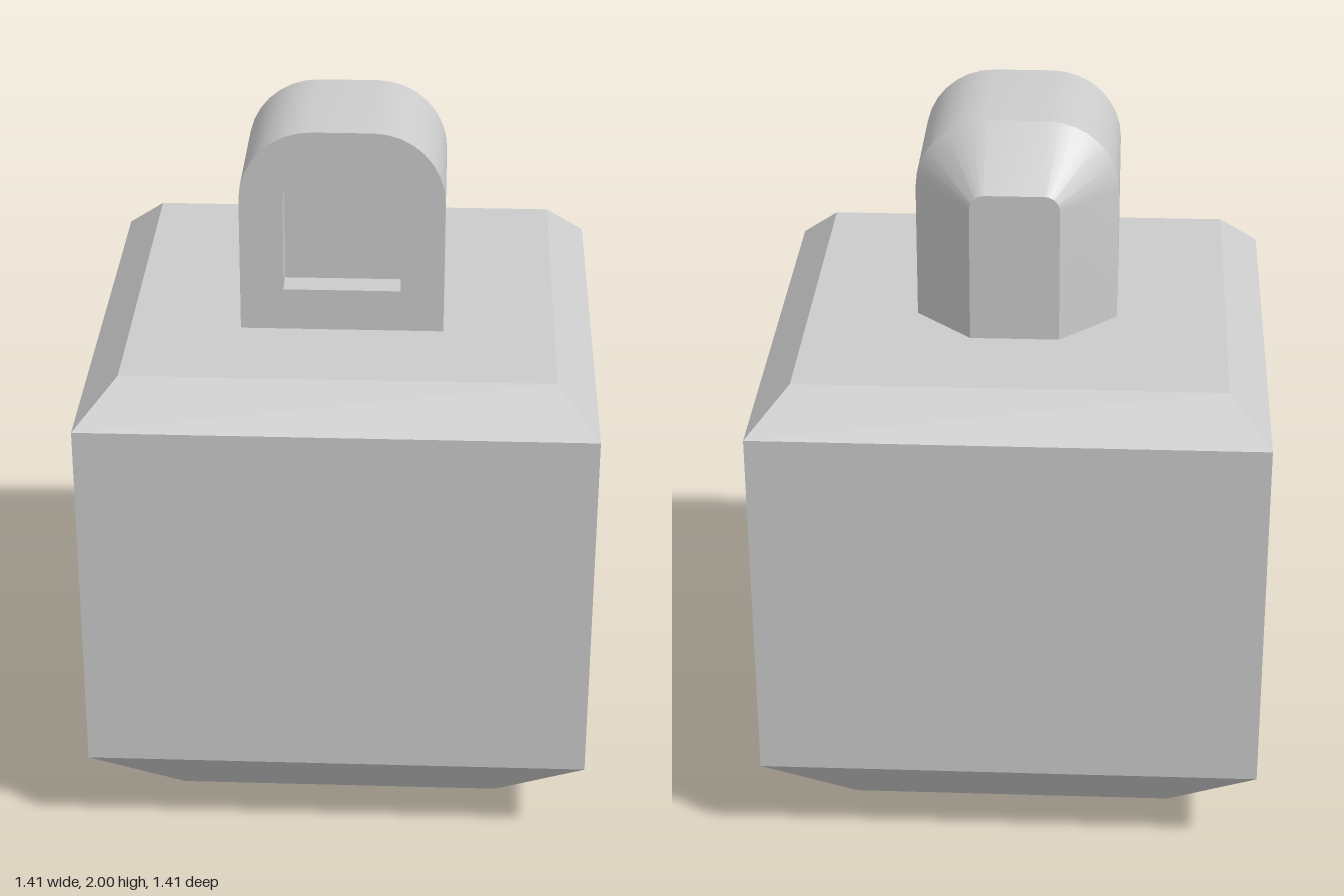
import * as THREE from 'three';
import { toCreasedNormals } from 'three/addons/utils/BufferGeometryUtils.js';

// Skin a sequence of equal-length rings and close both ends with fans
function loft(rings) {
  const pos = [];
  const tri = (...pts) => pts.forEach((p) => pos.push(p.x, p.y, p.z));
  const n = rings[0].length;
  const centre = (ring) =>
    ring.reduce((sum, p) => sum.add(p), new THREE.Vector3()).divideScalar(n);
  const first = rings[0], last = rings[rings.length - 1];
  const c0 = centre(first), c1 = centre(last);
  for (let i = 0; i < n; i++) {
    const j = (i + 1) % n;
    tri(c0, first[i], first[j]);
    tri(c1, last[j], last[i]);
    for (let k = 0; k < rings.length - 1; k++) {
      const a = rings[k], b = rings[k + 1];
      tri(a[i], b[i], a[j]);
      tri(a[j], b[i], b[j]);
    }
  }
  const geometry = new THREE.BufferGeometry();
  geometry.setAttribute('position', new THREE.Float32BufferAttribute(pos, 3));
  return toCreasedNormals(geometry, 0.4);
}

// Horizontal square of half-width h at height y
const square = (h, y) =>
  [[1, 1], [1, -1], [-1, -1], [-1, 1]].map(([x, z]) => new THREE.Vector3(x * h, y, z * h));

// Upright outline with a flat bottom and two rounded top corners
function arch(halfWidth, bottom, top, radius, z) {
  const steps = 8;
  const pts = [new THREE.Vector3(-halfWidth, bottom, z), new THREE.Vector3(halfWidth, bottom, z)];
  for (const side of [0, 1]) {
    const cx = (side ? -1 : 1) * (halfWidth - radius);
    for (let i = 0; i <= steps; i++) {
      const a = (side + i / steps) * Math.PI / 2;
      pts.push(new THREE.Vector3(cx + radius * Math.cos(a), top - radius + radius * Math.sin(a), z));
    }
  }
  return pts;
}

export function createModel() {
  const model = new THREE.Group();
  const material = new THREE.MeshStandardMaterial({ color: 0xcccccc });
  const add = (name, geometry) => {
    const mesh = new THREE.Mesh(geometry, material);
    mesh.name = name;
    model.add(mesh);
  };

  // Cube body with a small top chamfer and a larger bottom chamfer
  add('body', loft([square(0.59, 1.415), square(0.706, 1.3), square(0.706, 0.25), square(0.46, 0)]));

  // Arched housing: recessed front panel, straight sides, tapered back
  add('archedHousing', loft([
    arch(0.162, 1.535, 1.888, 0.085, 0.2),
    arch(0.162, 1.535, 1.888, 0.085, 0.28),
    arch(0.282, 1.41, 2, 0.2, 0.28),
    arch(0.282, 1.41, 2, 0.2, -0.125),
    arch(0.124, 1.41, 1.842, 0.042, -0.283),
  ]));

  return model;
}
